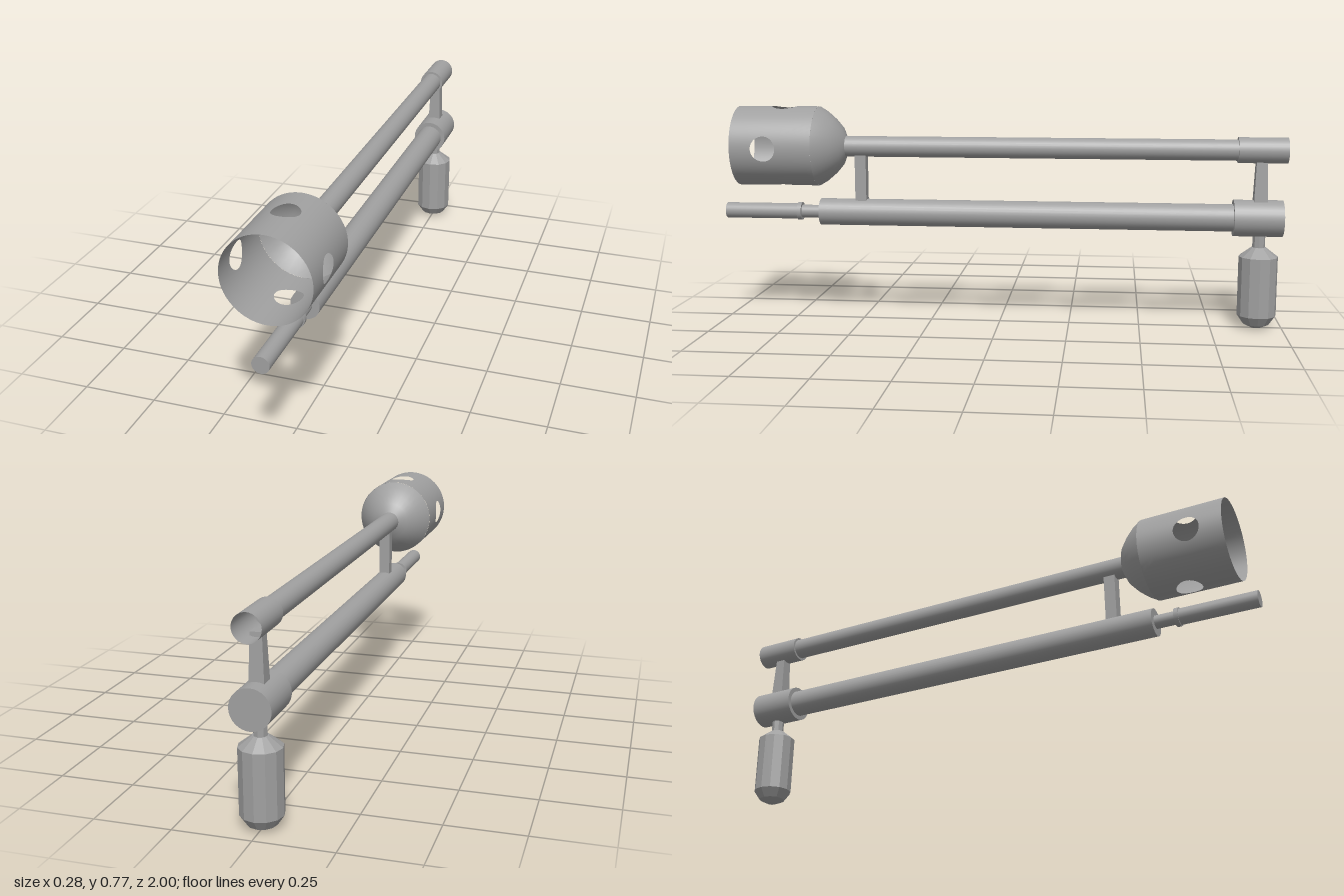
import * as THREE from 'three';

export function createModel() {
  const group = new THREE.Group();
  const grey = new THREE.MeshStandardMaterial({ color: 0xa0a0a0, side: THREE.DoubleSide });
  const greyFlat = grey.clone();
  greyFlat.flatShading = true;
  grey.name = 'grey metal';
  greyFlat.name = 'grey metal faceted';
  const UPPER = 0.63, LOWER = 0.392, REAR = -0.912;

  function add(name, geometry, material = grey, x = 0, y = 0, z = 0) {
    const mesh = new THREE.Mesh(geometry, material);
    mesh.name = name;
    mesh.position.set(x, y, z);
    group.add(mesh);
    return mesh;
  }
  // cylinder lying along z
  function rod(name, r, z0, z1, y, open = false) {
    const g = new THREE.CylinderGeometry(r, r, z1 - z0, 32, 1, open).rotateX(Math.PI / 2);
    return add(name, g, grey, 0, y, (z0 + z1) / 2);
  }
  // square post with a taper
  function post(name, top, bottom, y0, y1, z) {
    const g = new THREE.CylinderGeometry(top / Math.SQRT2, bottom / Math.SQRT2, y1 - y0, 4).rotateY(Math.PI / 4);
    return add(name, g, greyFlat, 0, (y0 + y1) / 2, z);
  }

  // upper tube, open right through, with its rear sleeve
  rod('upperTube', 0.037, -0.83, 0.555, UPPER, true);
  rod('upperSleeve', 0.045, -1, -0.83, UPPER, true);
  add('upperSleeveRim', new THREE.RingGeometry(0.037, 0.045, 32), grey, 0, UPPER, -0.83);

  // lower tube, rear sleeve and stepped nozzle
  rod('lowerTube', 0.048, -0.83, 0.65, LOWER);
  rod('lowerSleeve', 0.064, -0.99, -0.82, LOWER);
  rod('nozzleNeck', 0.023, 0.65, 0.725, LOWER);
  rod('nozzleCollar', 0.032, 0.72, 0.735, LOWER);
  rod('nozzle', 0.028, 0.735, 1, LOWER);

  // posts joining the two tubes
  post('frontPost', 0.04, 0.04, 0.43, 0.605, 0.5);
  post('rearPost', 0.036, 0.048, 0.44, 0.6, REAR);

  // handle below the rear sleeve
  add('handleNeck', new THREE.CylinderGeometry(0.022, 0.022, 0.06, 8), greyFlat, 0, 0.31, REAR);
  const handle = [[0, 0], [0.016, 0.001], [0.046, 0.015], [0.068, 0.047], [0.068, 0.257], [0.025, 0.29], [0, 0.29]]
    .map(([r, y]) => new THREE.Vector2(r, y));
  add('handle', new THREE.LatheGeometry(handle, 12), greyFlat, 0, 0, REAR);

  // domed back of the cup
  const dome = [[0.037, 0.553], [0.07, 0.567], [0.1, 0.593], [0.125, 0.622], [0.142, 0.65]]
    .map(([r, z]) => new THREE.Vector2(r, z));
  add('cupDome', new THREE.LatheGeometry(dome, 32).rotateX(Math.PI / 2), grey, 0, UPPER, 0);

  // quarter of the cup wall: rings grow from the round hole to the patch border
  function cupQuarter(holeZ) {
    const R = 0.142, hole = 0.044, z0 = 0.65, z1 = 0.94, steps = 6, n = 64;
    const pos = [], nor = [], idx = [];
    for (let j = 0; j <= steps; j++) {
      const t = j / steps;
      for (let i = 0; i <= n; i++) {
        const a = i / n * Math.PI * 2, c = Math.cos(a), s = Math.sin(a);
        const m = Math.max(Math.abs(c), Math.abs(s));
        const edgeZ = s > 0 ? (z1 - holeZ) * s / m : (holeZ - z0) * s / m;
        const angle = (1 - t) * Math.asin(hole * c / R) + t * c / m * Math.PI / 4;
        const z = holeZ + (1 - t) * hole * s + t * edgeZ;
        pos.push(R * Math.sin(angle), R * Math.cos(angle), z);
        nor.push(Math.sin(angle), Math.cos(angle), 0);
        if (i < n && j < steps) {
          const p = j * (n + 1) + i, q = p + n + 1;
          idx.push(p, p + 1, q, p + 1, q + 1, q);
        }
      }
    }
    const g = new THREE.BufferGeometry();
    g.setAttribute('position', new THREE.Float32BufferAttribute(pos, 3));
    g.setAttribute('normal', new THREE.Float32BufferAttribute(nor, 3));
    g.setIndex(idx);
    return g;
  }
  ['Top', 'Left', 'Bottom', 'Right'].forEach((side, k) => {
    const g = cupQuarter(k % 2 ? 0.82 : 0.775);
    add('cupWall' + side, g, grey, 0, UPPER, 0).rotation.z = -k * Math.PI / 2;
  });

  return group;
}
